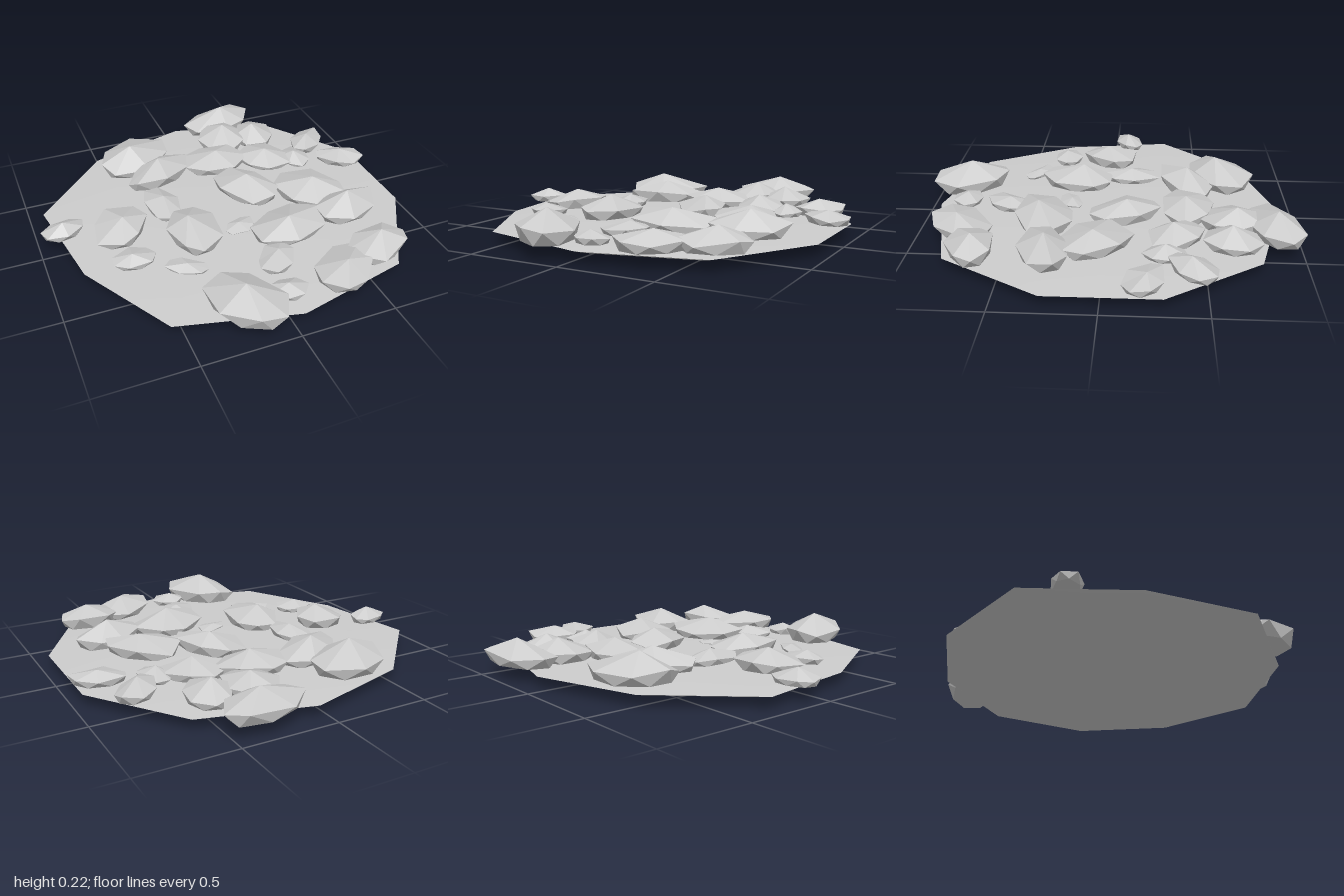
import * as THREE from 'three';
import { toCreasedNormals } from 'three/addons/utils/BufferGeometryUtils.js';

const stone = new THREE.MeshStandardMaterial({ color: 0xcccccc });
stone.name = 'light grey stone';

// Small seeded generator for the irregular stone outlines
function seeded(seed) {
  let s = seed * 7919 + 17;
  return () => {
    s = (s * 16807) % 2147483647;
    return s / 2147483647;
  };
}

// Closed skin over rings of points, listed from bottom to top
function loft(rings) {
  const pos = [];
  const n = rings[0].length;
  for (let r = 0; r < rings.length - 1; r++) {
    for (let i = 0; i < n; i++) {
      const j = (i + 1) % n;
      const a = rings[r][i], b = rings[r][j], c = rings[r + 1][i], d = rings[r + 1][j];
      if (r < rings.length - 2) pos.push(...a, ...c, ...d, ...a, ...d, ...b);
      else pos.push(...a, ...c, ...b); // last ring is the peak
      if (r === 0 && i > 0 && i < n - 1) pos.push(...rings[0][0], ...a, ...b); // underside fan
    }
  }
  const g = new THREE.BufferGeometry();
  g.setAttribute('position', new THREE.Float32BufferAttribute(pos, 3));
  g.computeVertexNormals();
  return g;
}

// Shallow dish-shaped slab with an uneven polygonal rim
function makeSlab() {
  const rim = [
    [0.955, 0.27], [0.65, 0.78], [0.05, 0.93], [-0.56, 0.78], [-0.84, 0.27], [-0.88, 0],
    [-0.93, -0.31], [-0.515, -0.75], [0.05, -0.92], [0.62, -0.77], [0.955, -0.29],
  ];
  const levels = [[0.2, 0], [0.5, 0.01], [0.9, 0.035], [1, 0.062], [0.7, 0.078], [0, 0.084]];
  const rings = levels.map(([k, y]) => rim.map(([x, z]) => [x * k, y, z * k]));
  const mesh = new THREE.Mesh(toCreasedNormals(loft(rings), 0.3), stone);
  mesh.name = 'slab';
  return mesh;
}

// Faceted stone: narrow foot turned half a step, wide waist, off-centre peak
function makeStone([x, z, len, wid, turn, top], seed) {
  const rnd = seeded(seed);
  for (let i = 0; i < 5; i++) rnd();
  const foot = 0.072;
  const waist = foot + (top - foot) * 0.45;
  const sides = 7;
  const outline = [];
  for (let i = 0; i < sides; i++) {
    const a = ((i + (rnd() - 0.5) * 0.4) / sides) * Math.PI * 2;
    const r = 1 + rnd() * 0.13;
    const u = Math.cos(a) * len * r, v = Math.sin(a) * wid * r;
    outline.push([
      u * Math.cos(turn) - v * Math.sin(turn),
      u * Math.sin(turn) + v * Math.cos(turn),
      (rnd() - 0.5) * 0.3 * (top - foot),
    ]);
  }
  const px = (rnd() - 0.5) * wid * 0.4, pz = (rnd() - 0.5) * wid * 0.4;
  const geo = loft([
    outline.map(([u, v], i) => {
      const [u2, v2] = outline[(i + 1) % sides];
      return [x + (u + u2) * 0.46, foot, z + (v + v2) * 0.46];
    }),
    outline.map(([u, v, h]) => [x + u, waist + h, z + v]),
    outline.map(() => [x + px, top, z + pz]),
  ]);
  return new THREE.Mesh(geo, stone);
}

// Stones as: x, z, half length, half width, turn, peak height
const largeStones = [
  [0.32, -0.87, 0.22, 0.13, -0.25, 0.205],
  [-0.32, -0.62, 0.22, 0.16, -0.5, 0.213],
  [-0.22, -0.42, 0.22, 0.12, -0.5, 0.195],
  [0.12, -0.42, 0.19, 0.13, 0.1, 0.18],
  [0.25, -0.645, 0.16, 0.14, 1.57, 0.19],
  [0.47, -0.63, 0.16, 0.11, -1.3, 0.18],
  [0.415, -0.355, 0.16, 0.12, 0.8, 0.17],
  [0.18, -0.085, 0.2, 0.13, 1.1, 0.185],
  [0.5, 0.05, 0.2, 0.15, 0.8, 0.18],
  [0.25, 0.33, 0.22, 0.15, -0.2, 0.19],
  [0.62, 0.29, 0.19, 0.12, -0.25, 0.205],
  [-0.585, 0.02, 0.17, 0.13, -1, 0.18],
  [-0.23, 0.18, 0.2, 0.135, 1.57, 0.19],
  [-0.19, 0.8, 0.215, 0.15, 0.95, 0.222],
  [0.355, 0.745, 0.19, 0.13, -0.8, 0.17],
  [0.6, 0.65, 0.17, 0.12, -0.3, 0.19],
];
const smallStones = [
  [0.6, -0.295, 0.11, 0.075, 1.57, 0.14],
  [0.74, -0.43, 0.14, 0.085, -0.75, 0.16],
  [0.85, -0.2, 0.14, 0.09, 0.45, 0.14],
  [-0.31, -0.115, 0.155, 0.09, 1.57, 0.15],
  [-0.585, 0.28, 0.11, 0.08, 0.1, 0.135],
  [0.02, 0.21, 0.09, 0.06, -0.5, 0.105],
  [-0.36, 0.43, 0.11, 0.055, 0.6, 0.11],
  [0.08, 0.545, 0.125, 0.085, -0.9, 0.14],
  [0.04, 0.78, 0.095, 0.075, 0.1, 0.135],
  [-0.865, -0.085, 0.125, 0.075, -0.3, 0.15],
];

export function createModel() {
  const model = new THREE.Group();
  model.name = 'stonePatch';
  model.add(makeSlab());
  for (const [name, list, seed] of [['largeStone', largeStones, 1], ['smallStone', smallStones, 50]]) {
    list.forEach((spec, i) => {
      const mesh = makeStone(spec, seed + i);
      mesh.name = name + (i + 1);
      model.add(mesh);
    });
  }
  return model;
}
